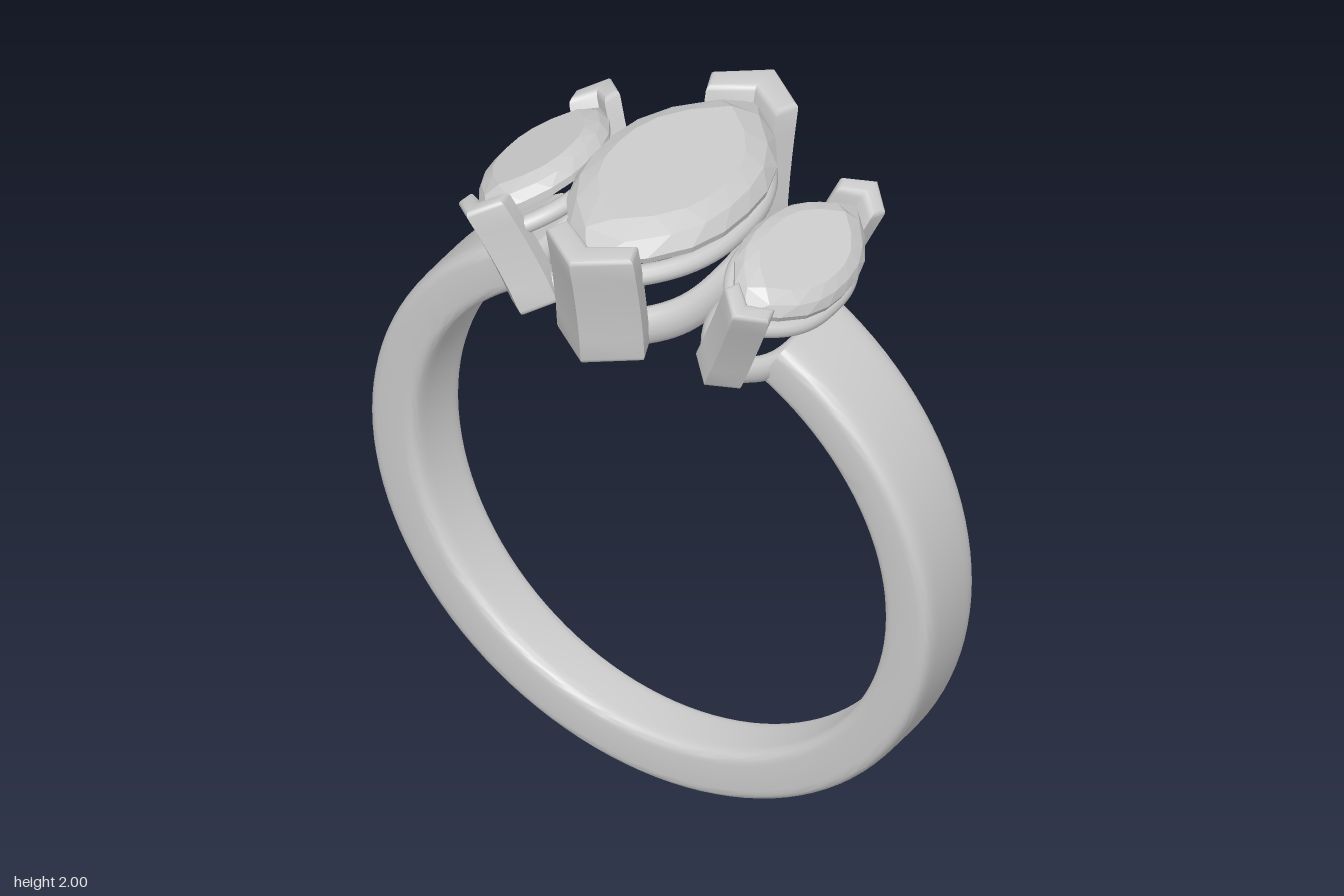
import * as THREE from 'three';
import { toCreasedNormals } from 'three/addons/utils/BufferGeometryUtils.js';

const CENTRE_Y = 0.881, INNER = 0.73, OUTER = 0.88;
const metal = new THREE.MeshStandardMaterial({ color: 0xcccccc });
const gem = new THREE.MeshStandardMaterial({ color: 0xcccccc, flatShading: true });

function named(name, geometry, material = metal) {
  const mesh = new THREE.Mesh(geometry, material);
  mesh.name = name;
  return mesh;
}

// Skin a list of closed loops (equal point counts), with a fan cap at each end
function loft(loops) {
  const pos = [], n = loops[0].length;
  const tri = (...p) => p.forEach(v => pos.push(v.x, v.y, v.z));
  const middle = loop => loop.reduce((s, p) => s.add(p), new THREE.Vector3()).divideScalar(n);
  const first = loops[0], last = loops[loops.length - 1];
  const c0 = middle(first), c1 = middle(last);
  for (let i = 0; i < n; i++) {
    const j = (i + 1) % n;
    for (let k = 0; k + 1 < loops.length; k++) {
      const a = loops[k], b = loops[k + 1];
      tri(a[i], a[j], b[i]);
      tri(a[j], b[j], b[i]);
    }
    tri(c0, first[j], first[i]);
    tri(c1, last[i], last[j]);
  }
  const g = new THREE.BufferGeometry();
  g.setAttribute('position', new THREE.Float32BufferAttribute(pos, 3));
  g.computeVertexNormals();
  return g;
}

// Pointed oval, anticlockwise from above, starting at the +z tip; u runs 0..1
function marquise(u, w, l, y = 0, power = 2.5) {
  u %= 1;
  const side = u < 0.5 ? 1 : -1;
  const t = u < 0.5 ? 1 - 4 * u : 4 * u - 3;
  return new THREE.Vector3(side * w * (1 - Math.abs(t) ** power), y, l * t);
}

// Faceted stone: the crown loops are turned half a step to give triangular facets
function stoneGeometry(w, l, crown, pavilion) {
  const n = 16;
  const loop = (scale, y, shift) => Array.from({ length: n }, (_, i) =>
    marquise((i + shift) / n, w * scale, l * scale, y));
  return loft([
    loop(0.12, -pavilion, 0),
    loop(0.6, -pavilion * 0.55, 0),
    loop(0.98, -0.015, 0),
    loop(1, 0.005, 0),
    loop(0.9, crown * 0.62, 0.5),
    loop(0.7, crown, 1),
  ]);
}

// Closed wire following the stone outline
function railGeometry(w, l, radius, power) {
  const pts = Array.from({ length: 32 }, (_, i) => marquise(i / 32, w, l, 0, power));
  return new THREE.TubeGeometry(new THREE.CatmullRomCurve3(pts, true), 72, radius, 12, true);
}

// Lower rail: taller section, bent to follow the finger opening
function baseRailGeometry(w, l, radius, height) {
  const g = railGeometry(w, l, radius, 3);
  g.scale(1, height / (2 * radius), 1);
  const p = g.attributes.position;
  for (let i = 0; i < p.count; i++) {
    const x = p.getX(i);
    p.setY(i, p.getY(i) + height / 2 + Math.sqrt(INNER ** 2 - x * x) - INNER);
  }
  return toCreasedNormals(g, 1);
}

// V-shaped claw that flares outwards towards the top
function prongGeometry({ tip, halfWidth, drop, thick, flare, height }) {
  const b = 0.016;
  const outer = tip - drop;
  const shape = new THREE.Shape([
    [0, -tip], [halfWidth, -outer], [halfWidth * 0.8, -outer + thick * 0.8],
    [0, -tip + thick * 1.15], [-halfWidth * 0.8, -outer + thick * 0.8], [-halfWidth, -outer],
  ].map(([x, y]) => new THREE.Vector2(x, y)));
  const g = new THREE.ExtrudeGeometry(shape, {
    depth: height - 2 * b, steps: 5, bevelSize: b, bevelThickness: b, bevelOffset: -b, bevelSegments: 3,
  });
  g.rotateX(-Math.PI / 2);
  g.translate(0, b, 0);
  const p = g.attributes.position;
  for (let i = 0; i < p.count; i++) {
    const up = THREE.MathUtils.clamp(p.getY(i) / height, 0, 1);
    p.setZ(i, p.getZ(i) - flare * (1 - up ** 1.5));
  }
  return toCreasedNormals(g, 0.7);
}

// Stone, two rails and a claw at each tip; y = 0 lies on the finger opening
function setting(name, o) {
  const group = new THREE.Group();
  group.name = name;
  const stone = named('stone', stoneGeometry(o.w, o.l, o.crown, o.pavilion), gem);
  stone.position.y = o.girdle;
  const rail = named('upperRail', railGeometry(o.w * 0.87, o.l * 0.92, o.wire, 2.5));
  rail.position.y = o.girdle - o.wire - 0.04;
  group.add(stone, rail, named('baseRail', baseRailGeometry(o.baseW, o.baseL, o.wire * 1.2, o.baseH)));
  const claw = prongGeometry(o.prong);
  const back = named('backProng', claw);
  back.rotation.y = Math.PI;
  group.add(named('frontProng', claw), back);
  return group;
}

// Open band, wider towards the stones, with softly squared section
function bandGeometry() {
  const soft = v => Math.sign(v) * Math.abs(v) ** 0.36;
  const gap = THREE.MathUtils.degToRad(29.8);
  const steps = 96, sides = 40, loops = [];
  for (let k = 0; k <= steps; k++) {
    const a = gap + (2 * Math.PI - 2 * gap) * k / steps;
    const half = 0.09 + 0.062 * OUTER * (1 + Math.cos(a)) / 1.7;
    loops.push(Array.from({ length: sides }, (_, i) => {
      const t = 2 * Math.PI * i / sides;
      const r = (INNER + OUTER) / 2 + (OUTER - INNER) / 2 * soft(Math.cos(t));
      return new THREE.Vector3(r * Math.sin(a), CENTRE_Y + r * Math.cos(a), half * soft(Math.sin(t)));
    }));
  }
  return toCreasedNormals(loft(loops), 0.8);
}

export function createModel() {
  const model = new THREE.Group();
  model.name = 'threeStoneRing';
  model.add(named('band', bandGeometry()));

  const main = setting('centreSetting', {
    w: 0.24, l: 0.42, crown: 0.072, pavilion: 0.1, girdle: 0.312, wire: 0.029,
    baseW: 0.155, baseL: 0.35, baseH: 0.11,
    prong: { tip: 0.51, halfWidth: 0.137, drop: 0.1, thick: 0.085, flare: 0.06, height: 0.375 },
  });
  main.position.y = CENTRE_Y + 0.735;
  model.add(main);

  // Side settings are fanned out around the centre of the band
  for (const side of [1, -1]) {
    const s = setting(side > 0 ? 'leftSetting' : 'rightSetting', {
      w: 0.15, l: 0.28, crown: 0.05, pavilion: 0.07, girdle: 0.3, wire: 0.025,
      baseW: 0.105, baseL: 0.24, baseH: 0.085,
      prong: { tip: 0.36, halfWidth: 0.076, drop: 0.07, thick: 0.065, flare: 0.065, height: 0.355 },
    });
    const a = side * THREE.MathUtils.degToRad(22.7);
    s.position.set(0.735 * Math.sin(a), CENTRE_Y + 0.735 * Math.cos(a), 0);
    s.rotation.z = -a;
    model.add(s);
  }
  return model;
}
